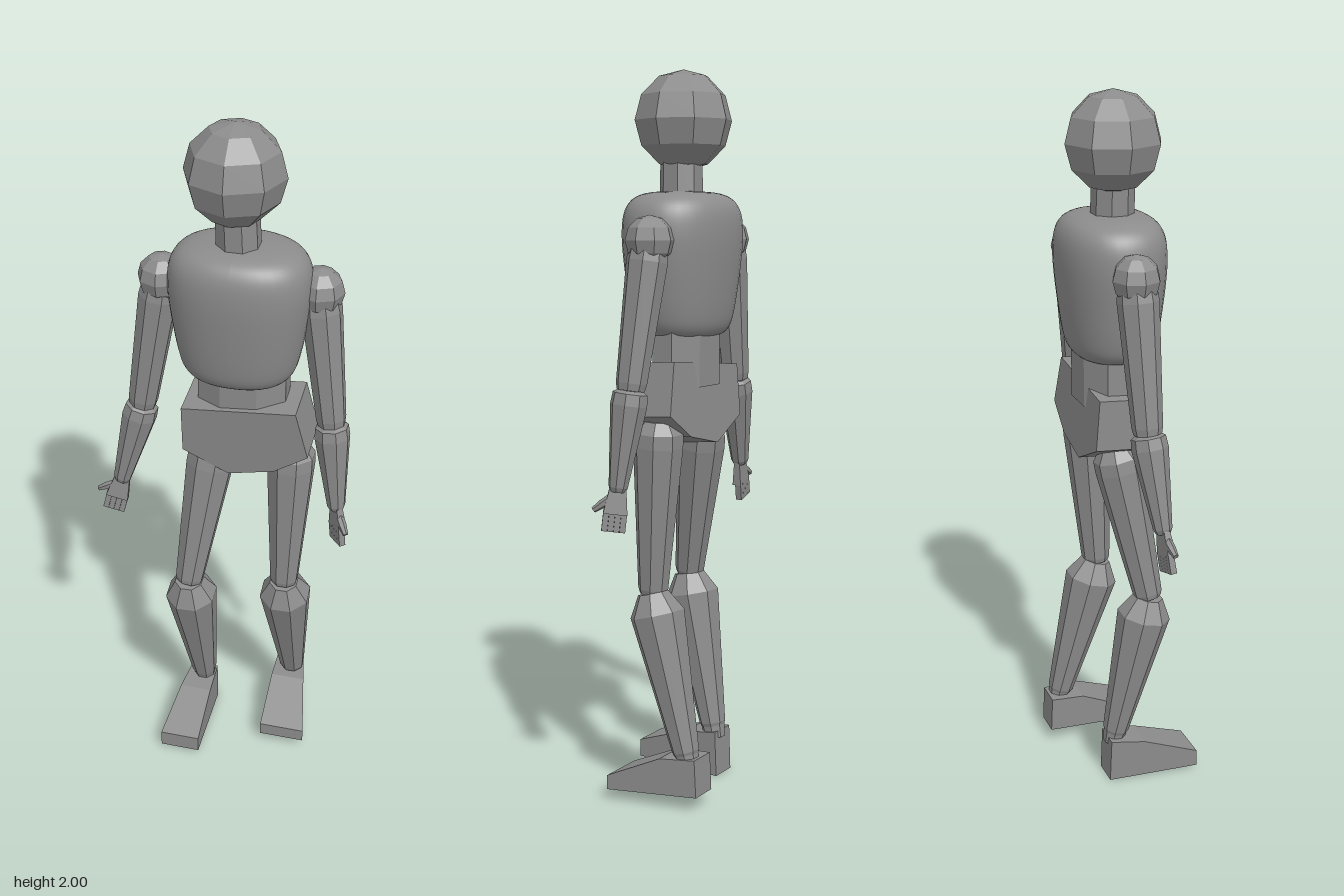
import * as THREE from 'three';

const V = (a) => new THREE.Vector3(...a);

// Hard-edged copy of a geometry
function facet(geo) {
  const g = geo.index ? geo.toNonIndexed() : geo;
  g.computeVertexNormals();
  return g;
}

// Faceted limb from a bottom point to a top point; profile = [fraction of length, radius]
function limbGeo(bottom, top, profile, sides = 8) {
  const a = V(bottom), dir = V(top).sub(a), len = dir.length();
  const pts = profile.map(([t, r]) => new THREE.Vector2(r, t * len));
  pts.unshift(new THREE.Vector2(0, pts[0].y));
  pts.push(new THREE.Vector2(0, pts[pts.length - 1].y));
  const geo = new THREE.LatheGeometry(pts, sides, Math.PI / sides);
  const q = new THREE.Quaternion().setFromUnitVectors(V([0, 1, 0]), dir.normalize());
  return facet(geo.applyQuaternion(q).translate(...bottom));
}

// Wedge foot: side outline in (z, y), widened from heel to toe
function footGeo({ outline, heel, toe }) {
  const shape = new THREE.Shape(outline.map(([z, y]) => new THREE.Vector2(z, y)));
  const geo = new THREE.ExtrudeGeometry(shape, { depth: 1, bevelEnabled: false });
  geo.rotateY(-Math.PI / 2);
  const zs = outline.map((p) => p[0]), z0 = Math.min(...zs), z1 = Math.max(...zs);
  const p = geo.attributes.position;
  for (let i = 0; i < p.count; i++) {
    const t = (p.getZ(i) - z0) / (z1 - z0), s = p.getX(i) + 1;
    const lo = THREE.MathUtils.lerp(heel[0], toe[0], t);
    const hi = THREE.MathUtils.lerp(heel[1], toe[1], t);
    p.setX(i, lo + (hi - lo) * s);
  }
  return facet(geo);
}

export function createModel() {
  const model = new THREE.Group();
  const grey = new THREE.MeshStandardMaterial({ color: 0x8c8c8c });
  const add = (name, geo, parent = model) => {
    const m = new THREE.Mesh(geo, grey);
    m.name = name;
    parent.add(m);
    return m;
  };

  // Head and neck
  add('head', facet(new THREE.SphereGeometry(0.135, 8, 6))).position.set(0.03, 1.865, -0.015);
  add('neck', limbGeo([0.042, 1.63, -0.015], [0.036, 1.79, -0.012], [[0, 0.06], [1, 0.058]]));

  // Smooth rounded chest, oval in plan
  const chestProfile = [[0, 1.28], [0.08, 1.28], [0.125, 1.287], [0.15, 1.31], [0.164, 1.35], [0.177, 1.42],
    [0.188, 1.5], [0.192, 1.56], [0.187, 1.61], [0.17, 1.643], [0.14, 1.663], [0.09, 1.673], [0, 1.676]];
  const curve = new THREE.SplineCurve(chestProfile.map((p) => new THREE.Vector2(...p)));
  const chestPts = curve.getPoints(40).map((p) => new THREE.Vector2(Math.max(0, p.x), p.y));
  const chest = new THREE.LatheGeometry(chestPts, 40);
  const cp = chest.attributes.position;
  for (let i = 0; i < cp.count; i++) {
    const x = cp.getX(i), z = cp.getZ(i), r = Math.hypot(x, z);
    if (r < 1e-6) continue;
    const n = 2.25;
    const k = Math.pow(Math.pow(Math.abs(x / r), n) + Math.pow(Math.abs(z / r), n), -1 / n);
    cp.setX(i, x * k);
    cp.setZ(i, z * k * 0.75);
  }
  chest.computeVertexNormals();
  add('chest', chest).position.set(0.043, 0, -0.022);

  // Waist and tilted pelvis block
  const waist = limbGeo([0, 1.15, 0], [0, 1.32, 0], [[0, 0.133], [1, 0.133]]);
  waist.scale(1, 1, 0.6);
  add('waist', facet(waist)).position.set(0.052, 0, -0.04);
  const hipShape = new THREE.Shape([[-0.105, 1.05], [0.025, 0.985], [0.155, 1.015], [0.25, 1.08],
    [0.215, 1.222], [-0.105, 1.192]].map((p) => new THREE.Vector2(...p)));
  const pelvis = new THREE.ExtrudeGeometry(hipShape, { depth: 0.155, bevelEnabled: false });
  pelvis.translate(0, -1.1, -0.0775).rotateX(0.08);
  add('pelvis', facet(pelvis)).position.set(0, 1.1, -0.037);

  // Limb profiles, bottom to top
  const thigh = [[0, 0.038], [0.03, 0.042], [0.88, 0.069], [0.96, 0.068], [1.03, 0.045]];
  const shin = [[-0.08, 0.03], [0, 0.034], [0.02, 0.038], [0.87, 0.077], [1, 0.043]];
  const upperArm = [[0, 0.038], [0.05, 0.042], [0.86, 0.056], [0.94, 0.052], [1, 0.04]];
  const forearm = [[-0.05, 0.02], [0, 0.026], [0.85, 0.05], [0.97, 0.047], [1, 0.035]];

  const sides = [
    {
      name: 'left', hip: [0.192, 1.05, -0.04], knee: [0.185, 0.585, -0.015], ankle: [0.198, 0.15, -0.132],
      shoulder: [0.25, 1.545, -0.052], elbow: [0.302, 1.155, -0.025], wrist: [0.33, 0.9, -0.003],
      handDir: [0.12, -1, 0.06], handWide: [0.6, 0, 0.8],
      foot: { outline: [[0.08, 0.03], [0.08, 0.07], [-0.075, 0.14], [-0.175, 0.147], [-0.18, 0.042]],
        heel: [0.145, 0.225], toe: [0.142, 0.277] },
    },
    {
      name: 'right', hip: [-0.035, 1.02, -0.035], knee: [-0.09, 0.58, 0.043], ankle: [-0.07, 0.14, -0.052],
      shoulder: [-0.172, 1.545, -0.03], elbow: [-0.235, 1.14, -0.022], wrist: [-0.298, 0.89, -0.003],
      handDir: [-0.25, -1, 0.08], handWide: [-1, 0, 0.12],
      foot: { outline: [[0.18, 0.01], [0.18, 0.06], [0.02, 0.117], [-0.08, 0.13], [-0.085, 0.0]],
        heel: [-0.115, -0.035], toe: [-0.15, -0.032] },
    },
  ];

  for (const s of sides) {
    // Leg
    const leg = new THREE.Group();
    leg.name = s.name + 'Leg';
    model.add(leg);
    add('thigh', limbGeo(s.knee, s.hip, thigh), leg);
    add('shin', limbGeo(s.ankle, s.knee, shin), leg);
    add('foot', footGeo(s.foot), leg);

    // Arm
    const arm = new THREE.Group();
    arm.name = s.name + 'Arm';
    model.add(arm);
    add('shoulderBall', facet(new THREE.SphereGeometry(0.066, 8, 6)), arm).position.set(...s.shoulder);
    add('upperArm', limbGeo(s.elbow, s.shoulder, upperArm), arm);
    add('forearm', limbGeo(s.wrist, s.elbow, forearm), arm);

    // Hand: local x runs towards the thumb, local -y towards the fingertips
    const hand = new THREE.Group();
    hand.name = s.name + 'Hand';
    const y = V(s.handDir).normalize().negate();
    const z = V(s.handWide).cross(y).normalize();
    const x = y.clone().cross(z);
    hand.setRotationFromMatrix(new THREE.Matrix4().makeBasis(x, y, z));
    hand.position.set(...s.wrist);
    arm.add(hand);
    const palm = new THREE.CylinderGeometry(0.03, 0.046, 0.075, 4, 1, false, Math.PI / 4);
    add('palm', facet(palm.scale(1, 1, 0.4)), hand).position.set(0, -0.035, 0);
    for (let i = 0; i < 4; i++) {
      const f = add('finger', new THREE.BoxGeometry(0.0155, 0.05, 0.018), hand);
      f.position.set(-0.024 + i * 0.016, -0.095, 0.004);
    }
    add('thumb', limbGeo([0.058, -0.068, 0.004], [0.015, -0.03, 0], [[0, 0.008], [0.5, 0.012], [1, 0.012]], 6), hand);
  }
  return model;
}
